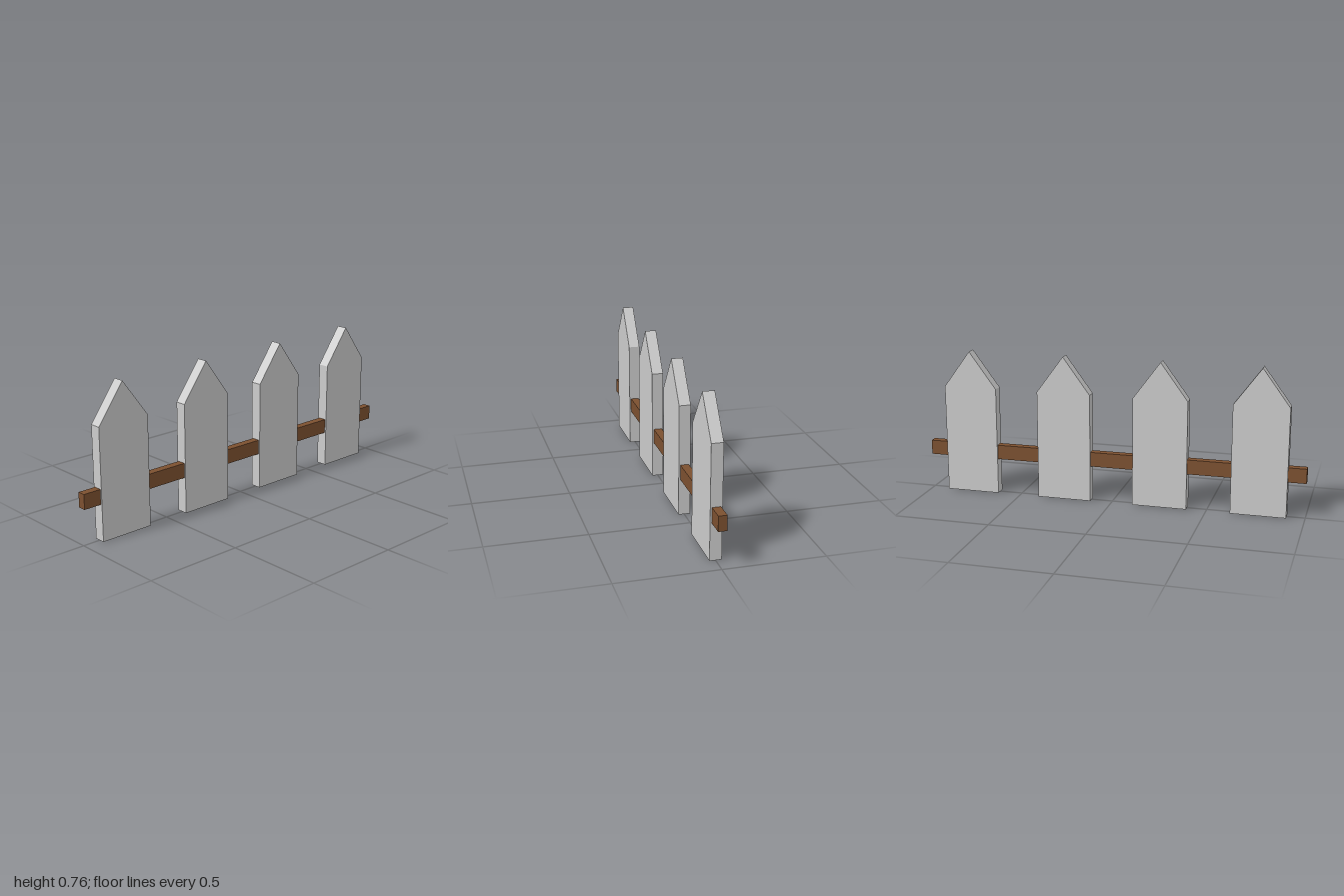
import * as THREE from 'three';

export function createModel() {
  const group = new THREE.Group();
  const grey = new THREE.MeshStandardMaterial({ color: 0xcccccc, flatShading: true });
  const brown = new THREE.MeshStandardMaterial({ color: 0x7c5030, flatShading: true });

  // Pointed picket outline, extruded and centred in depth
  const halfWidth = 0.142, shoulder = 0.568, tip = 0.761, depth = 0.058;
  const outline = new THREE.Shape([
    new THREE.Vector2(-halfWidth, 0),
    new THREE.Vector2(halfWidth, 0),
    new THREE.Vector2(halfWidth, shoulder),
    new THREE.Vector2(0, tip),
    new THREE.Vector2(-halfWidth, shoulder),
  ]);
  const picketGeometry = new THREE.ExtrudeGeometry(outline, { depth, bevelEnabled: false });
  picketGeometry.translate(0, 0, -depth / 2);

  // Row of four evenly spaced pickets
  const spacing = 0.51;
  for (let i = 0; i < 4; i++) {
    const picket = new THREE.Mesh(picketGeometry, grey);
    picket.name = `picket${i + 1}`;
    picket.position.x = (i - 1.5) * spacing;
    group.add(picket);
  }

  // Horizontal rail running through the pickets
  const rail = new THREE.Mesh(new THREE.BoxGeometry(2, 0.076, 0.042), brown);
  rail.name = 'rail';
  rail.position.y = 0.225;
  group.add(rail);

  return group;
}
